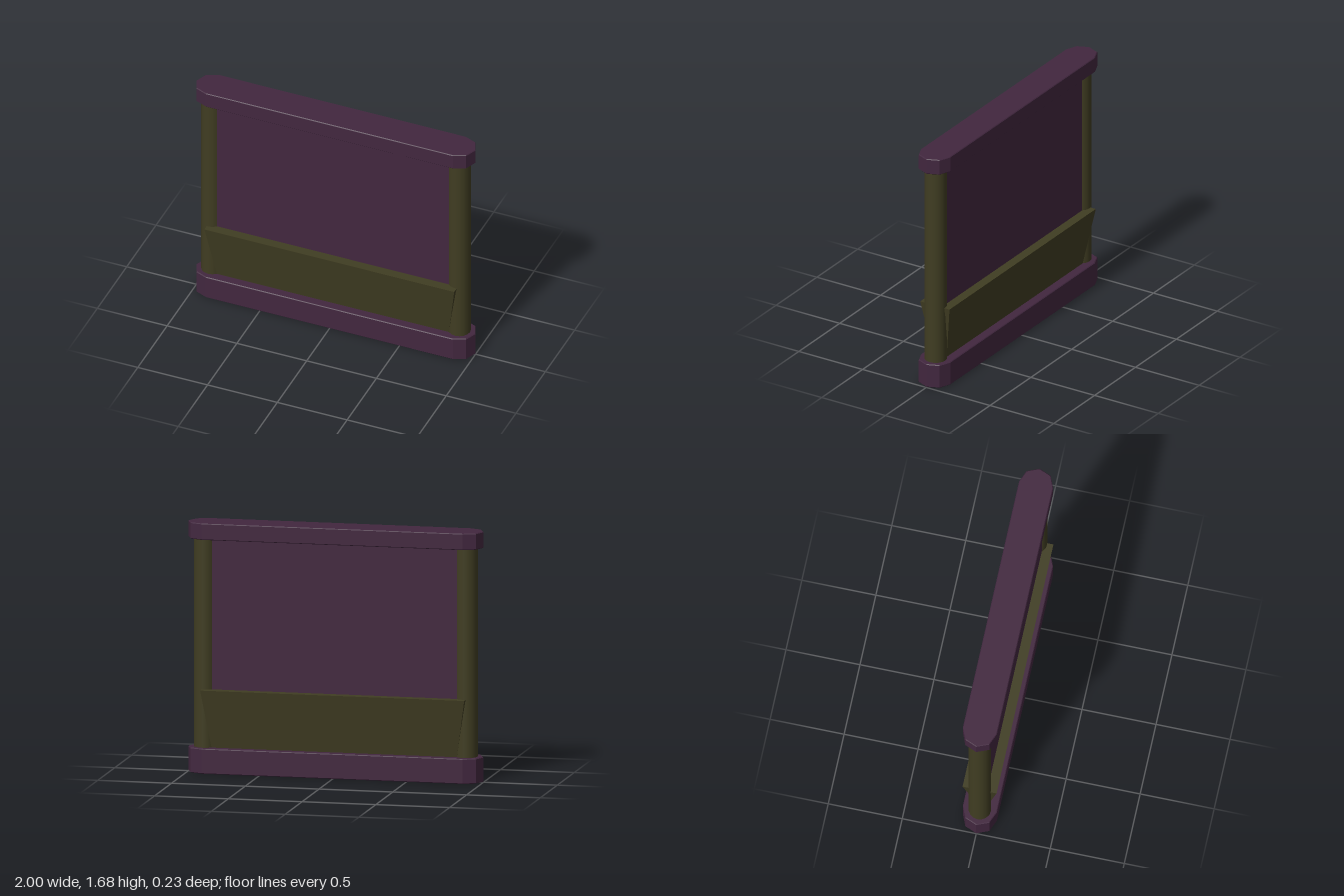
import * as THREE from 'three';

const POST_X = 0.885;

export function createModel() {
  const model = new THREE.Group();
  model.name = 'fencePanel';
  const purple = new THREE.MeshStandardMaterial({ name: 'dark purple', color: 0x42273f });
  const olive = new THREE.MeshStandardMaterial({ name: 'dark olive', color: 0x403d22 });

  function add(name, geometry, material, x, y, z) {
    const mesh = new THREE.Mesh(geometry, material);
    mesh.name = name;
    mesh.position.set(x, y, z);
    model.add(mesh);
  }

  // Long rail with faceted half-octagon ends, standing from y0 to y1
  function rail(name, y0, y1) {
    const r = 0.115;
    const points = [];
    for (const side of [1, -1]) {
      for (let i = 0; i <= 4; i++) {
        const a = -Math.PI / 2 + (i * Math.PI) / 4;
        points.push(new THREE.Vector2(side * (POST_X + r * Math.cos(a)), side * r * Math.sin(a)));
      }
    }
    const bevel = 0.005;
    const geometry = new THREE.ExtrudeGeometry(new THREE.Shape(points), {
      depth: y1 - y0 - 2 * bevel,
      bevelEnabled: true, bevelSegments: 1,
      bevelSize: bevel, bevelThickness: bevel, bevelOffset: -bevel,
    });
    geometry.rotateX(-Math.PI / 2);
    add(name, geometry, purple, 0, y0 + bevel, 0);
  }
  rail('bottomRail', 0.002, 0.17);
  rail('topRail', 1.57, 1.68);

  // Round posts, reaching through the bottom rail
  for (const [name, side] of [['leftPost', 1], ['rightPost', -1]]) {
    add(name, new THREE.CylinderGeometry(0.075, 0.075, 1.6, 16), olive, side * POST_X, 0.8, 0);
  }

  // Recessed wall between the posts
  add('wallPanel', new THREE.BoxGeometry(2 * POST_X, 1.46, 0.1), purple, 0, 0.87, 0);

  // Lower band, flaring outwards towards its top
  const band = new THREE.BoxGeometry(1, 1, 1);
  const p = band.attributes.position;
  for (let i = 0; i < p.count; i++) {
    const top = p.getY(i) > 0;
    p.setXYZ(i, p.getX(i) * (top ? 1.79 : 1.66), top ? 0.56 : 0.16, p.getZ(i) * (top ? 0.23 : 0.102));
  }
  band.computeVertexNormals();
  add('lowerBand', band, olive, 0, 0, 0);

  return model;
}
